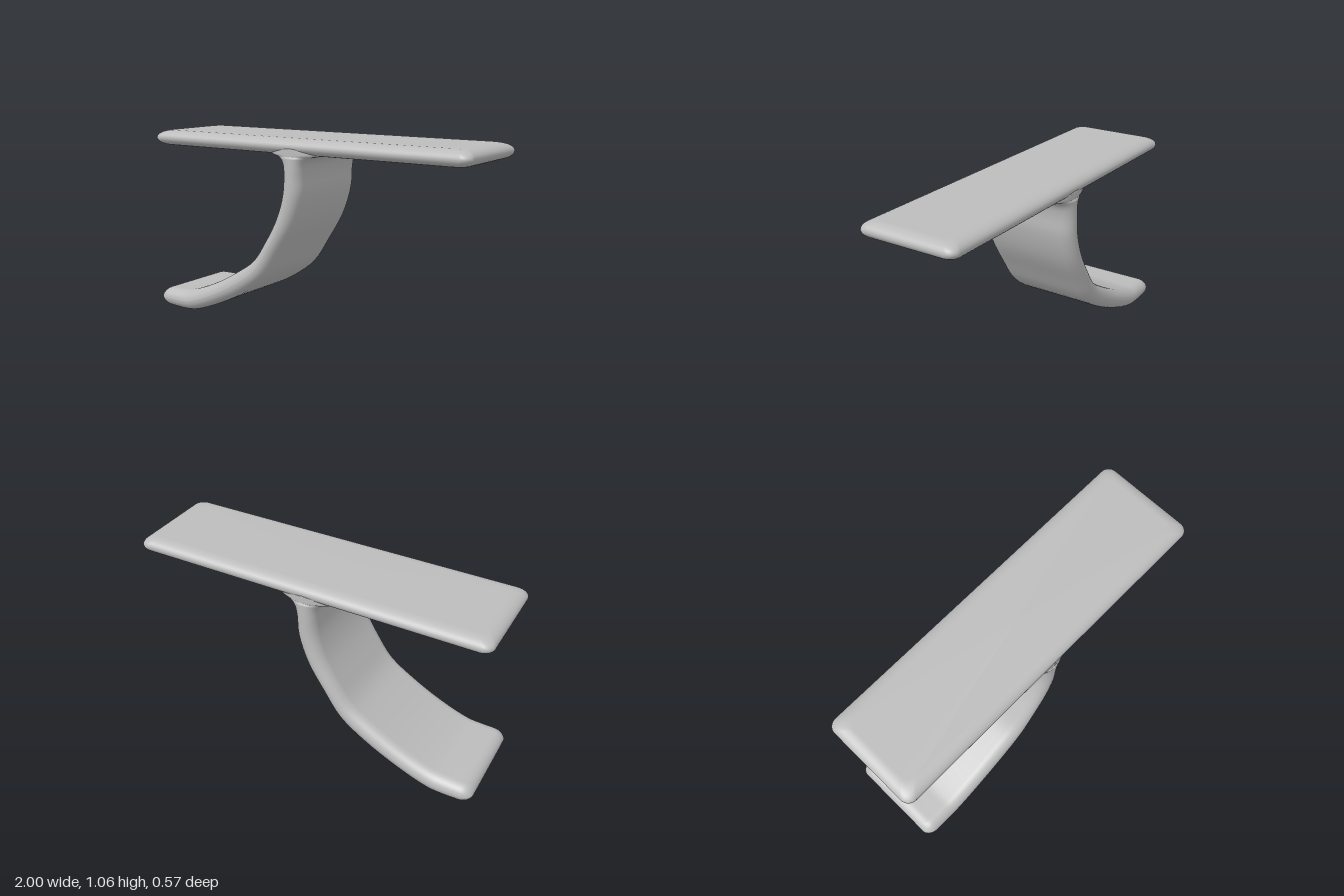
import * as THREE from 'three';

// Joins equal-length loops of points into a smooth closed skin with end caps
function loft(rings, material, name) {
  const n = rings[0].length, pos = [], idx = [];
  rings.forEach(r => r.forEach(p => pos.push(p.x, p.y, p.z)));
  for (let i = 0; i < rings.length - 1; i++) {
    for (let j = 0; j < n; j++) {
      const k = (j + 1) % n, a = i * n + j, b = i * n + k;
      idx.push(a, b, a + n, b, b + n, a + n);
    }
  }
  for (const i of [0, rings.length - 1]) {
    const c = new THREE.Vector3();
    rings[i].forEach(p => c.addScaledVector(p, 1 / n));
    const ci = pos.length / 3;
    pos.push(c.x, c.y, c.z);
    for (let j = 0; j < n; j++) {
      const a = i * n + j, b = i * n + (j + 1) % n;
      if (i === 0) idx.push(ci, b, a);
      else idx.push(ci, a, b);
    }
  }
  const g = new THREE.BufferGeometry();
  g.setAttribute('position', new THREE.Float32BufferAttribute(pos, 3));
  g.setIndex(idx);
  g.computeVertexNormals();
  const mesh = new THREE.Mesh(g, material);
  mesh.name = name;
  return mesh;
}

// Rounded rectangle as [u, v] pairs; ru and rv are the corner radii
function roundedRect(hu, hv, ru, rv, steps = 8) {
  const pts = [];
  for (let q = 0; q < 4; q++) {
    const su = q === 0 || q === 3 ? 1 : -1, sv = q < 2 ? 1 : -1;
    for (let i = 0; i <= steps; i++) {
      const a = (q + i / steps) * Math.PI / 2;
      pts.push([su * (hu - ru) + ru * Math.cos(a), sv * (hv - rv) + rv * Math.sin(a)]);
    }
  }
  return pts;
}

// Flat top slab with softly rounded rim
function makeSlab(material) {
  const rings = [];
  for (let i = 0; i <= 16; i++) {
    const t = (i / 16 - 0.5) * Math.PI, inset = 0.07 * (1 - Math.cos(t));
    const y = 1.017 + 0.043 * Math.sin(t);
    rings.push(roundedRect(1 - inset, 0.28 - inset, 0.05, 0.05)
      .map(([u, v]) => new THREE.Vector3(u, y, -v)));
  }
  return loft(rings, material, 'topSlab');
}

// Curved leg: a band between an upper and a lower edge curve, flaring into the slab
function makeLeg(material) {
  // upper x, upper y, lower x, lower y
  const pairs = [
    [-0.93, 0.117, -0.93, 0.007], [-0.86, 0.119, -0.84, 0.003], [-0.78, 0.125, -0.75, 0.01],
    [-0.61, 0.185, -0.57, 0.075], [-0.42, 0.285, -0.37, 0.175], [-0.29, 0.375, -0.22, 0.285],
    [-0.205, 0.49, -0.12, 0.43], [-0.125, 0.63, -0.02, 0.595], [-0.083, 0.76, 0.033, 0.76],
    [-0.074, 0.86, 0.04, 0.87], [-0.082, 0.925, 0.055, 0.93], [-0.11, 0.96, 0.085, 0.96],
    [-0.17, 0.977, 0.145, 0.977], [-0.17, 1.01, 0.145, 1.01]
  ];
  const curve = k => new THREE.CatmullRomCurve3(pairs.map(p => new THREE.Vector3(p[k], p[k + 1], 0)));
  const upper = curve(0), lower = curve(2);
  const ring = (u, l, halfZ, scale, dx) => {
    const mid = u.clone().add(l).multiplyScalar(0.5);
    const half = u.clone().sub(l).multiplyScalar(0.5 * scale);
    return roundedRect(halfZ, 1, 0.065, 1).map(([z, s]) => {
      const p = mid.clone().addScaledVector(half, -s);
      return new THREE.Vector3(p.x + dx, p.y, z);
    });
  };
  const rings = [];
  // rounded foot tip
  for (let i = 0; i < 8; i++) {
    const t = (0.04 + 0.96 * i / 8) * Math.PI / 2;
    rings.push(ring(upper.getPoint(0), lower.getPoint(0),
      0.285 - 0.05 * (1 - Math.sin(t)), Math.sin(t), -0.07 * Math.cos(t)));
  }
  const steps = 52;
  for (let i = 0; i <= steps; i++) {
    const t = i / steps;
    rings.push(ring(upper.getPoint(t), lower.getPoint(t), t > 0.85 ? 0.279 : 0.285, 1, 0));
  }
  return loft(rings, material, 'curvedLeg');
}

export function createModel() {
  const grey = new THREE.MeshStandardMaterial({ color: 0xbcbcbc });
  grey.name = 'plain grey';
  const model = new THREE.Group();
  model.name = 'table';
  model.add(makeSlab(grey), makeLeg(grey));
  return model;
}
